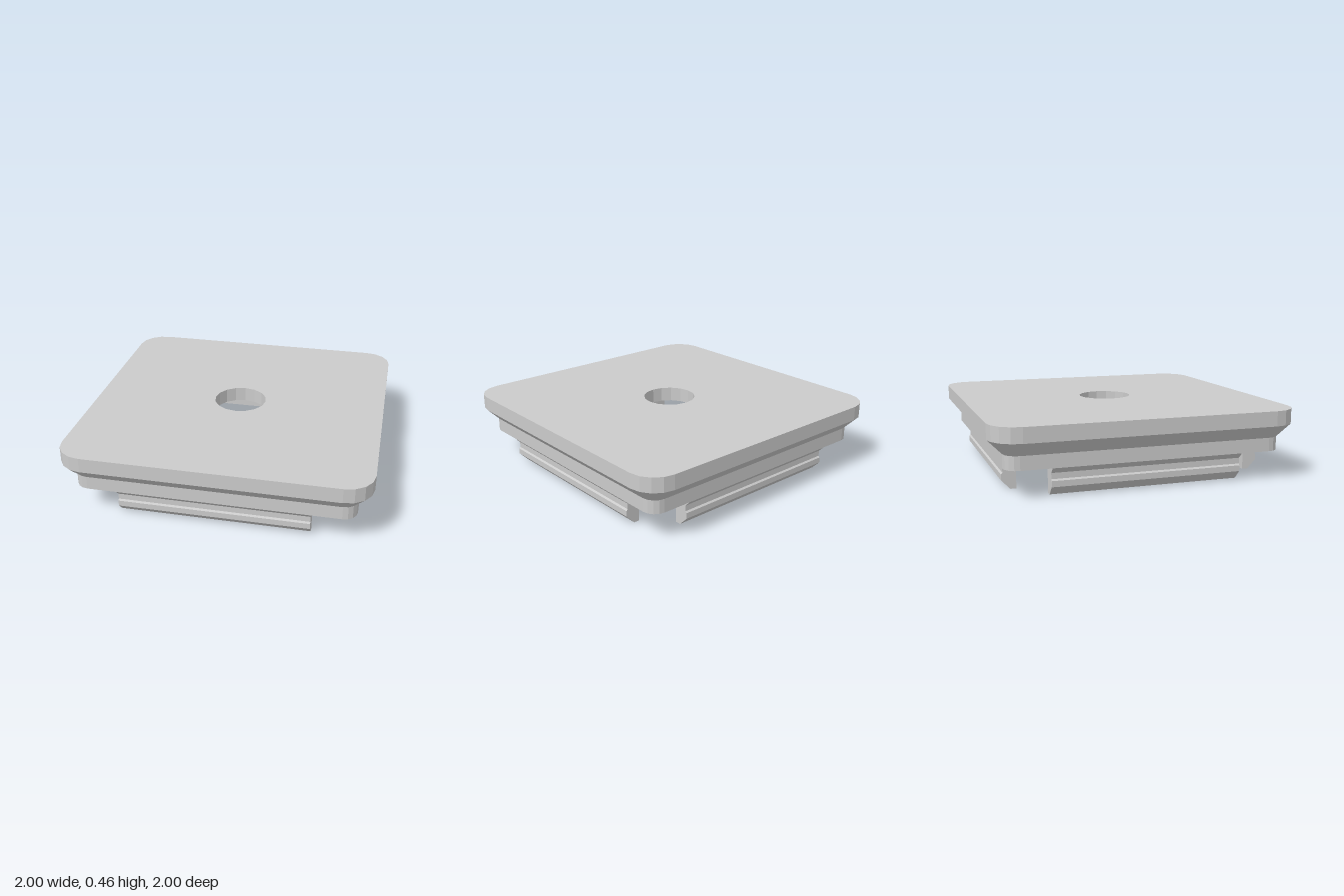
import * as THREE from 'three';

const material = new THREE.MeshStandardMaterial({ color: 0xcccccc, flatShading: true });
const CORNER_STEPS = 4;

// Square ring with rounded corners: corner centres at +-c, corner radius r, height y.
// With c = 0 it becomes a 16-sided circle, with r = 0 a sharp square.
function ring(c, r, y) {
  const points = [];
  for (let q = 0; q < 4; q++) {
    const mid = (q + 0.5) * Math.PI / 2;
    const cx = c * Math.sign(Math.cos(mid)), cz = -c * Math.sign(Math.sin(mid));
    for (let i = 0; i <= CORNER_STEPS; i++) {
      const t = (q + i / CORNER_STEPS) * Math.PI / 2;
      points.push(new THREE.Vector3(cx + r * Math.cos(t), y, cz - r * Math.sin(t)));
    }
  }
  return points;
}

// Skin a sequence of rings, leaving out collapsed triangles.
function loft(rings) {
  const positions = [];
  const triangle = (a, b, c) => {
    const area = b.clone().sub(a).cross(c.clone().sub(a)).length();
    if (area > 1e-7) for (const p of [a, b, c]) positions.push(p.x, p.y, p.z);
  };
  for (let k = 0; k < rings.length - 1; k++) {
    const a = rings[k], b = rings[k + 1];
    for (let i = 0; i < a.length; i++) {
      const j = (i + 1) % a.length;
      triangle(a[i], b[i], b[j]);
      triangle(a[i], b[j], a[j]);
    }
  }
  const geometry = new THREE.BufferGeometry();
  geometry.setAttribute('position', new THREE.Float32BufferAttribute(positions, 3));
  geometry.computeVertexNormals();
  return geometry;
}

export function createModel() {
  const group = new THREE.Group();
  group.name = 'squareCap';

  // Hollow cap: top plate, chamfered rim, underside recess and centre hole
  const cap = new THREE.Mesh(loft([
    ring(0, 0.18, 0.46),
    ring(0.82, 0.18, 0.46),
    ring(0.82, 0.18, 0.362),
    ring(0.82, 0.089, 0.271),
    ring(0.82, 0.089, 0.182),
    ring(0.785, 0, 0.182),
    ring(0.785, 0, 0.217),
    ring(0.64, 0, 0.362),
    ring(0, 0.18, 0.362),
    ring(0, 0.18, 0.46),
  ]), material);
  cap.name = 'cap';
  group.add(cap);

  // Snap clips, one along each side
  const profile = new THREE.Shape([
    [0.786, 0], [0.824, 0], [0.882, 0.059], [0.882, 0.097], [0.872, 0.107],
    [0.872, 0.145], [0.909, 0.182], [0.786, 0.182],
  ].map(([x, y]) => new THREE.Vector2(x, y)));
  const clipGeometry = new THREE.ExtrudeGeometry(profile, { depth: 1.25, bevelEnabled: false });
  clipGeometry.translate(0, 0, -0.625);
  ['left', 'back', 'right', 'front'].forEach((side, k) => {
    const clip = new THREE.Mesh(clipGeometry, material);
    clip.name = side + 'Clip';
    clip.rotation.y = k * Math.PI / 2;
    group.add(clip);
  });

  return group;
}
